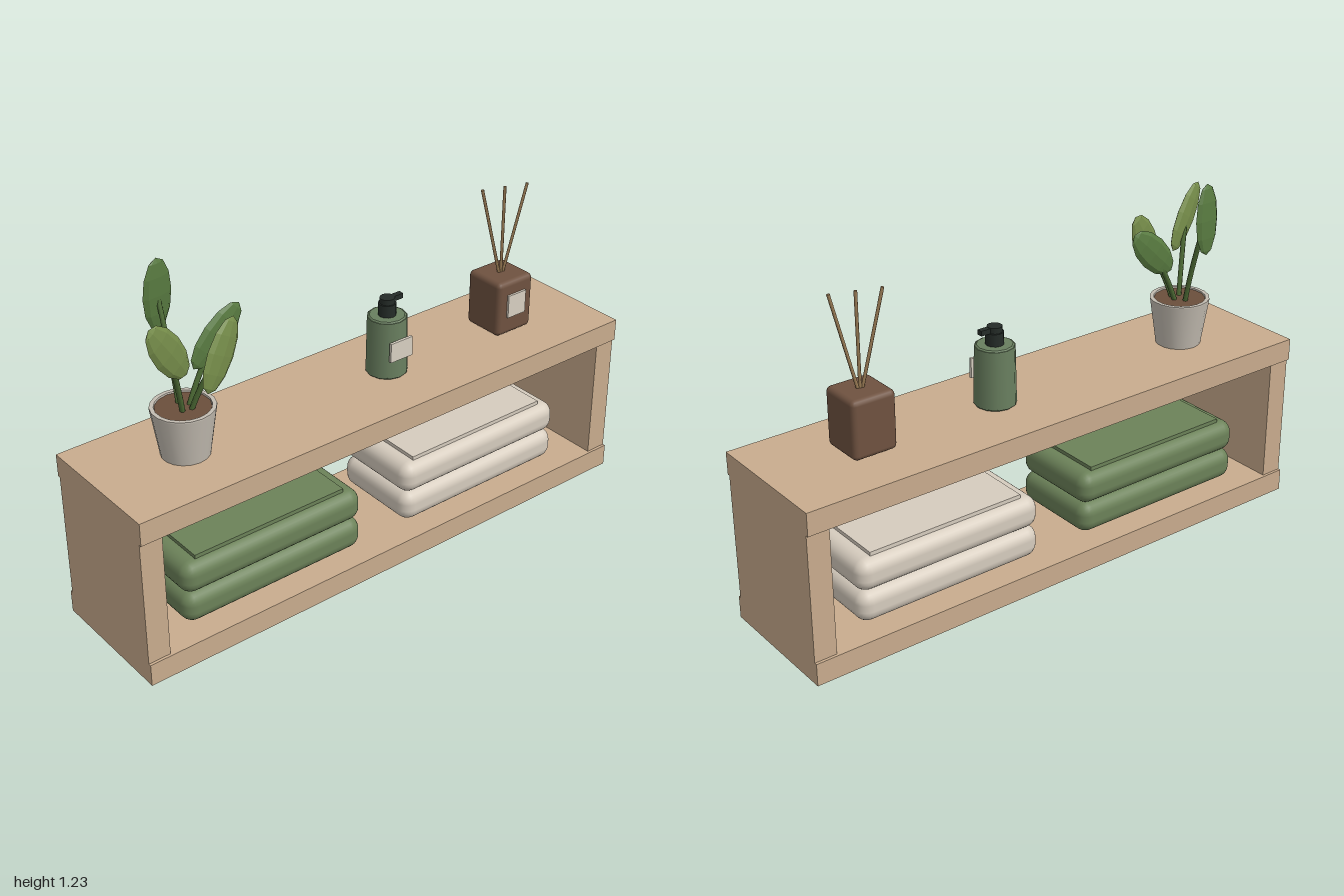
import * as THREE from 'three';
import { RoundedBoxGeometry } from 'three/addons/geometries/RoundedBoxGeometry.js';

const SHELF_TOP = 0.61;

const mat = (color, extra = {}) => new THREE.MeshStandardMaterial({ color, ...extra });
const wood = mat(0xc9ac8e);
const green = mat(0x6c8259);
const cream = mat(0xd6ccbe);
const potGrey = mat(0xc4bdb2, { side: THREE.DoubleSide });
const brown = mat(0x6f5240);
const soilBrown = mat(0x6b4f3c);
const black = mat(0x252c28);
const bottleGreen = mat(0x697f5f);
const labelCream = mat(0xd8d0c2);
const reedTan = mat(0x9a7c55);
const stemGreen = mat(0x4d6b35);
const leafLight = mat(0x768d4a, { flatShading: true });
const leafDark = mat(0x587a40, { flatShading: true });

const V = (x, y, z) => new THREE.Vector3(x, y, z);

function add(parent, name, geometry, material, x = 0, y = 0, z = 0) {
  const mesh = new THREE.Mesh(geometry, material);
  mesh.name = name;
  mesh.position.set(x, y, z);
  parent.add(mesh);
  return mesh;
}

function group(parent, name, x = 0, y = 0, z = 0) {
  const g = new THREE.Group();
  g.name = name;
  g.position.set(x, y, z);
  parent.add(g);
  return g;
}

// Straight cylinder between two points
function rod(parent, name, a, b, radius, material, sides = 6) {
  const dir = b.clone().sub(a);
  const mesh = add(parent, name, new THREE.CylinderGeometry(radius, radius, dir.length(), sides), material);
  mesh.position.copy(a).add(b).multiplyScalar(0.5);
  mesh.quaternion.setFromUnitVectors(V(0, 1, 0), dir.normalize());
  return mesh;
}

// Two folded towels with a thin flap on top
function towelStack(parent, name, x, material) {
  const g = group(parent, name, x, 0.085, 0);
  for (let i = 0; i < 2; i++) {
    add(g, 'foldedTowel', new RoundedBoxGeometry(0.71, 0.115, 0.35, 3, 0.045), material, 0, 0.0595 + i * 0.113, 0);
  }
  add(g, 'towelFlap', new THREE.BoxGeometry(0.59, 0.014, 0.28), material, 0, 0.236, 0);
}

// Flattened low-poly leaf from base to tip, facing the given direction, on a bent stem
function leaf(parent, base, tip, facing, width, material) {
  const up = tip.clone().sub(base);
  const length = up.length();
  up.normalize();
  const side = up.clone().cross(facing).normalize();
  const front = side.clone().cross(up);
  const centre = base.clone().add(tip).multiplyScalar(0.5);

  const blade = add(parent, 'leaf', new THREE.SphereGeometry(0.5, 8, 6), material);
  blade.scale.set(width, length, 0.03);
  blade.quaternion.setFromRotationMatrix(new THREE.Matrix4().makeBasis(side, up, front));
  blade.position.copy(centre);

  const start = V(centre.x * 0.12, 0.14, centre.z * 0.2);
  const bend = V(centre.x * 0.45, start.y + (centre.y - start.y) * 0.55, centre.z * 0.5);
  const curve = new THREE.QuadraticBezierCurve3(start, bend, centre);
  add(parent, 'stem', new THREE.TubeGeometry(curve, 10, 0.009, 6), stemGreen);
}

function plant(parent) {
  const g = group(parent, 'pottedPlant', -0.677, SHELF_TOP, 0);
  const profile = [[0, 0], [0.08, 0], [0.105, 0.165], [0.105, 0.17], [0.091, 0.17], [0.088, 0.15]];
  // Each wall face gets its own normals so the rim stays sharp
  profile.slice(1).forEach((p, i) => {
    const pts = [profile[i], p].map(([r, y]) => new THREE.Vector2(r, y));
    add(g, 'pot', new THREE.LatheGeometry(pts, 18), potGrey);
  });
  add(g, 'soil', new THREE.CylinderGeometry(0.09, 0.088, 0.02, 14), soilBrown, 0, 0.155, 0);

  leaf(g, V(0.015, 0.37, -0.137), V(0.012, 0.62, -0.123), V(0.15, 0, 1), 0.115, leafDark);
  leaf(g, V(-0.02, 0.315, 0.065), V(-0.165, 0.53, 0.103), V(0.25, 0, 1), 0.115, leafLight);
  leaf(g, V(0.045, 0.28, 0.0), V(0.225, 0.45, -0.004), V(0, 0, 1), 0.115, leafDark);
  leaf(g, V(0.018, 0.255, 0.115), V(0.14, 0.47, 0.088), V(0.2, 0.1, 1), 0.115, leafLight);
}

function soapBottle(parent) {
  const g = group(parent, 'soapBottle', 0.135, SHELF_TOP, 0);
  add(g, 'bottleBody', new THREE.CylinderGeometry(0.068, 0.072, 0.205, 12), bottleGreen, 0, 0.1075, 0);
  add(g, 'bottleFoot', new THREE.CylinderGeometry(0.072, 0.066, 0.008, 12), bottleGreen, 0, 0.004, 0);
  add(g, 'bottleShoulder', new THREE.CylinderGeometry(0.06, 0.068, 0.006, 12), bottleGreen, 0, 0.211, 0);
  add(g, 'pumpCollar', new THREE.CylinderGeometry(0.031, 0.031, 0.045, 12), black, 0, 0.235, 0);
  add(g, 'pumpHead', new THREE.CylinderGeometry(0.026, 0.026, 0.022, 12), black, 0, 0.266, 0);
  add(g, 'pumpSpout', new THREE.BoxGeometry(0.06, 0.018, 0.02), black, 0.03, 0.267, 0);
  add(g, 'bottleLabel', new THREE.BoxGeometry(0.092, 0.07, 0.01), labelCream, 0, 0.112, 0.073);
}

function diffuser(parent) {
  const g = group(parent, 'reedDiffuser', 0.65, SHELF_TOP, 0);
  add(g, 'diffuserBottle', new RoundedBoxGeometry(0.16, 0.205, 0.16, 2, 0.018), brown, 0, 0.1075, 0);
  add(g, 'diffuserLabel', new THREE.BoxGeometry(0.08, 0.085, 0.01), labelCream, 0, 0.117, 0.083);
  for (const s of [-1, 0, 1]) {
    rod(g, 'reed', V(s * 0.004, 0.19, 0), V(s * 0.08, 0.53, s * 0.025), 0.0055, reedTan);
  }
}

export function createModel() {
  const model = new THREE.Group();
  model.name = 'shelfUnit';

  // Wooden frame, open at front and back
  const frame = group(model, 'frame');
  add(frame, 'bottomBoard', new THREE.BoxGeometry(2, 0.08, 0.48), wood, 0, 0.04, 0);
  add(frame, 'topBoard', new THREE.BoxGeometry(2, 0.08, 0.48), wood, 0, 0.57, 0);
  for (const s of [-1, 1]) {
    add(frame, 'sidePanel', new THREE.BoxGeometry(0.08, 0.45, 0.46), wood, s * 0.96, 0.305, 0);
  }

  // Objects inside and on top
  towelStack(model, 'greenTowels', -0.46, green);
  towelStack(model, 'creamTowels', 0.435, cream);
  plant(model);
  soapBottle(model);
  diffuser(model);
  return model;
}
